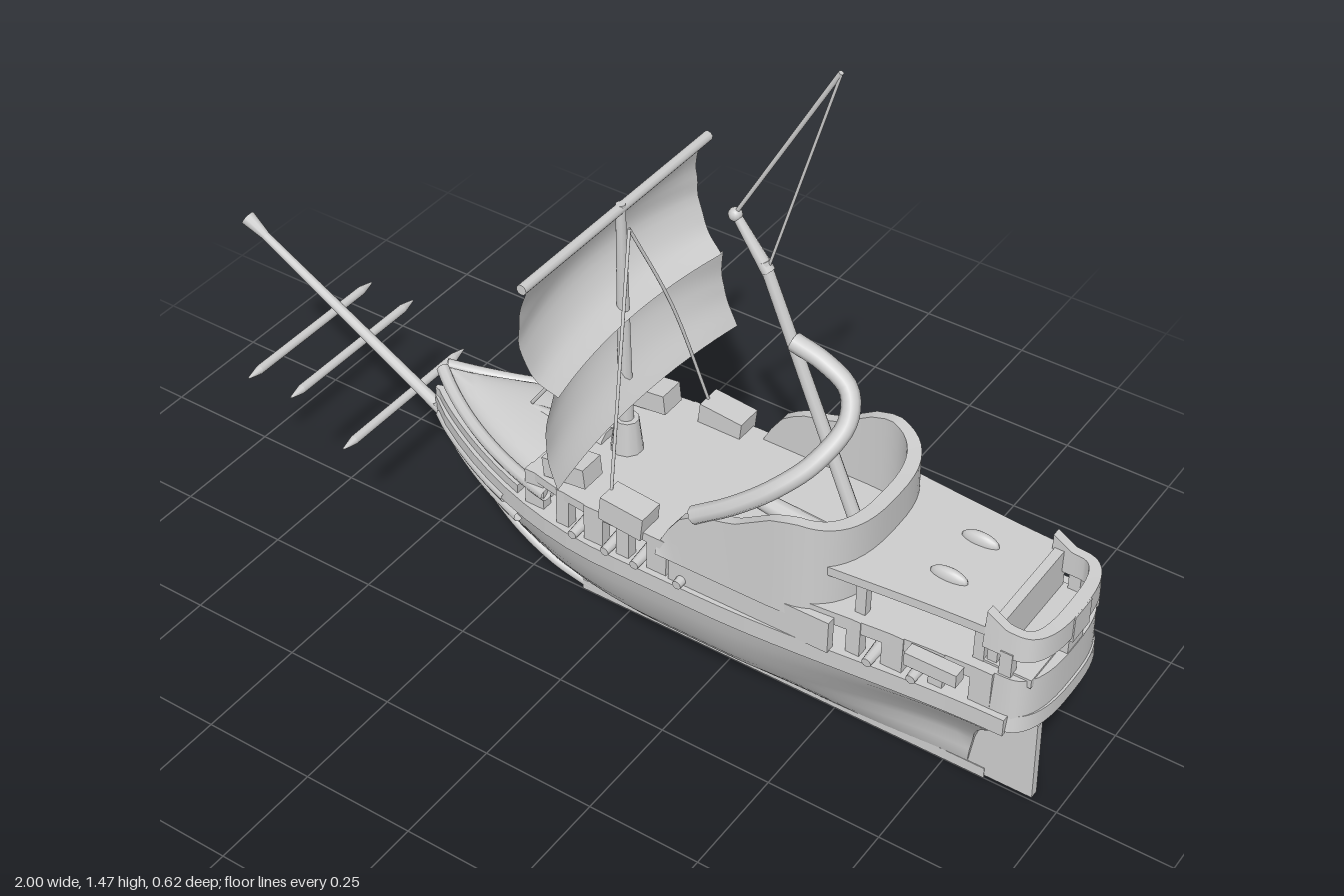
import * as THREE from 'three';
import { toCreasedNormals } from 'three/addons/utils/BufferGeometryUtils.js';

const mat = new THREE.MeshStandardMaterial({ color: 0xcccccc, side: THREE.DoubleSide });
const V = (x, y, z) => new THREE.Vector3(x, y, z);
const list = (n, f) => Array.from({ length: n }, (_, i) => f(i));

// Linear interpolation through [key, value] pairs
function lerpTable(table, k) {
  const i = table.findIndex(([a]) => k <= a);
  if (i < 0) return table[table.length - 1][1];
  if (i === 0) return table[0][1];
  const [a, va] = table[i - 1], [b, vb] = table[i];
  return va + (vb - va) * (k - a) / (b - a);
}

// Skin a list of closed rings; each end closes on its centre
function loft(rings, crease = 0.6) {
  const n = rings[0].length, idx = [];
  const cap = ring => ring.map(() => ring.reduce((s, p) => s.add(p), V(0, 0, 0)).divideScalar(n));
  const all = [cap(rings[0]), ...rings, cap(rings[rings.length - 1])];
  for (let i = 0; i < all.length - 1; i++)
    for (let j = 0; j < n; j++) {
      const a = i * n + j, b = i * n + (j + 1) % n;
      if (i > 0) idx.push(a, b, a + n);
      if (i < all.length - 2) idx.push(b, b + n, a + n);
      else idx.pop(), idx.pop(), idx.pop(), idx.push(a, b, a + n);
    }
  return toCreasedNormals(new THREE.BufferGeometry().setFromPoints(all.flat()).setIndex(idx), crease);
}

// Hull lines by height: bow and stern profile, midship half width, stern width ratio
const bowX = [[0.015, -0.1], [0.04, -0.2], [0.09, -0.29], [0.15, -0.355], [0.22, -0.42], [0.33, -0.5]];
const sternX = [[0.015, 0.8], [0.12, 0.815], [0.2, 0.85], [0.26, 0.89], [0.33, 0.94]];
const midW = [[0.015, 0.012], [0.05, 0.045], [0.1, 0.092], [0.15, 0.132], [0.2, 0.162], [0.26, 0.187], [0.33, 0.205]];
const sternW = [[0.015, 0.5], [0.1, 0.2], [0.2, 0.5], [0.28, 0.74], [0.33, 0.8]];

function halfWidth(x, y = 0.33) {
  const a = lerpTable(bowX, y), b = lerpTable(sternX, y);
  const s = THREE.MathUtils.clamp((x - a) / (b - a), 0, 1);
  const bow = Math.pow(Math.sin(Math.min(1, s / 0.4) * Math.PI / 2), 0.85);
  const aft = THREE.MathUtils.smoothstep(s, 0.55, 1);
  return lerpTable(midW, y) * bow * (1 - aft * (1 - lerpTable(sternW, y)));
}

function hullGeometry() {
  return loft([0.015, 0.04, 0.07, 0.1, 0.14, 0.18, 0.22, 0.26, 0.3, 0.33].map(y => {
    const a = lerpTable(bowX, y), b = lerpTable(sternX, y);
    const side = list(41, i => a + (b - a) * Math.pow(i / 40, 1.25)).map(x => V(x, y, halfWidth(x, y)));
    return [...side, ...side.slice(1).reverse().map(p => V(p.x, p.y, -p.z))];
  }));
}

// Rounded foredeck, cambered across
function foredeckGeometry() {
  return loft(list(19, i => {
    const x = -0.465 + 0.365 * i / 18, w = Math.max(0.004, halfWidth(x) - 0.022);
    return list(17, j => Math.PI * j / 16).map(a =>
      V(x, 0.36 + 0.075 * Math.pow(Math.max(0, Math.sin(a)), 0.5), w * Math.cos(a)));
  }), 0.8);
}

// Deck plate following the hull's plan, pulled in by an inset
function plate(x0, x1, top, thick, inset) {
  const side = list(25, i => x0 + (x1 - x0) * i / 24)
    .map(x => new THREE.Vector2(x, Math.max(0.004, halfWidth(x) - inset)));
  const shape = new THREE.Shape([...side, ...side.slice().reverse().map(p => new THREE.Vector2(p.x, -p.y))]);
  return new THREE.ExtrudeGeometry(shape, { depth: thick, bevelEnabled: false }).rotateX(Math.PI / 2).translate(0, top, 0);
}

// Rounded U wall open toward the bow; its top edge follows a height table over x
function horseshoe(x0, x1, hw, t, bottom, topTable, round) {
  const straight = list(11, i => x0 + (x1 - round - x0) * i / 10);
  const bend = list(23, i => Math.PI / 2 - Math.PI * (i + 1) / 24).map(a => [
    x1 - round + round * Math.pow(Math.cos(a), 0.75),
    Math.sign(Math.sin(a)) * Math.pow(Math.abs(Math.sin(a)), 0.75), Math.cos(a)]);
  const path = [...straight.map(x => [x, 1, 0]), ...bend, ...straight.reverse().map(x => [x, -1, 0])];
  return loft(path.map(([x, s, c]) => {
    const top = lerpTable(topTable, x), xi = x - t * c, zi = s * (hw - t);
    return [V(x, bottom, s * hw), V(x, top, s * (hw - 0.008)), V(xi, top, zi), V(xi, bottom, zi)];
  }));
}

// Cloth bellied by a centre line of [x, y] points, its sides swept aft by a table over height
function sailGeometry(line, topW, bottomW, bulge, sweep) {
  const curve = new THREE.CatmullRomCurve3(line.map(([x, y]) => V(x, y, 0)));
  const g = new THREE.PlaneGeometry(1, 1, 20, 16), p = g.attributes.position;
  for (let i = 0; i < p.count; i++) {
    const u = p.getX(i) * 2, v = 0.5 - p.getY(i), c = curve.getPoint(v);
    const w = topW + (bottomW - topW) * v + bulge * Math.sin(v * Math.PI);
    p.setXYZ(i, c.x + lerpTable(sweep, v) * u * u, c.y, 0.012 + u * w);
  }
  g.computeVertexNormals();
  return g;
}

export function createModel() {
  const ship = new THREE.Group();
  ship.name = 'sailingShip';
  ship.position.z = -0.01;
  const add = (name, geo, x = 0, y = 0, z = 0) => {
    const m = new THREE.Mesh(geo, mat);
    m.name = name;
    m.position.set(x, y, z);
    ship.add(m);
    return m;
  };
  const box = (name, x, y, z, w, h, d) => add(name, new THREE.BoxGeometry(w, h, d), x, y, z);
  const spar = (name, a, b, r0, r1 = r0) => {
    const d = b.clone().sub(a), mid = a.clone().lerp(b, 0.5);
    add(name, new THREE.CylinderGeometry(r1, r0, d.length(), 10), ...mid)
      .quaternion.setFromUnitVectors(V(0, 1, 0), d.normalize());
  };
  const tube = (name, pts, r) => add(name, new THREE.TubeGeometry(
    new THREE.CatmullRomCurve3(pts.map(p => V(...p))), 40, r, 8));

  // Hull, keel, stem and rudder
  add('hull', hullGeometry());
  box('keel', 0.36, 0.017, 0, 0.96, 0.025, 0.024);
  tube('stem', bowX.map(([y, x]) => [x, y, 0]), 0.013);
  const rudder = new THREE.Shape([[0.79, 0.01], [0.945, 0.01], [0.94, 0.2], [0.925, 0.22], [0.86, 0.22], [0.81, 0.12]]
    .map(p => new THREE.Vector2(...p)));
  add('rudder', new THREE.ExtrudeGeometry(rudder, { depth: 0.02, bevelEnabled: false }), 0, 0, -0.01);

  // Bulwarks and decks
  add('gunwale', plate(-0.5, 0.94, 0.35, 0.04, -0.006));
  add('bowBulwark', plate(-0.5, -0.17, 0.37, 0.05, 0.004));
  add('foredeck', foredeckGeometry());
  add('mainDeck', plate(-0.14, 0.62, 0.435, 0.02, 0.008));
  add('aftDeck', plate(0.58, 0.9, 0.435, 0.03, 0.008));
  add('quarterDeck', plate(0.55, 0.89, 0.525, 0.02, 0.025));
  spar('foredeckRidge', V(-0.26, 0.425, 0), V(-0.06, 0.425, 0), 0.01, 0.03);

  for (const s of [1, -1]) {
    // Posts between the open ports
    [-0.12, -0.04, 0.04, 0.11, 0.19, 0.62, 0.7, 0.79, 0.88].forEach((x, i) =>
      box('portPost', x, 0.39, s * (halfWidth(x) - 0.02), i % 2 ? 0.03 : 0.045, 0.09, 0.025));
    [0.62, 0.86].forEach(x => box('quarterPost', x, 0.475, s * (halfWidth(x) - 0.04), 0.022, 0.09, 0.02));
    box('lowerWall', 0.4, 0.385, s * 0.19, 0.36, 0.075, 0.02);
    box('sideBalcony', 0.795, 0.42, s * 0.183, 0.11, 0.03, 0.03);
    // Guns, deck chests and skylights
    [0.0, 0.08, 0.15, 0.25, 0.66, 0.75].forEach(x =>
      spar('gun', V(x, 0.365, s * (halfWidth(x) - 0.07)), V(x, 0.36, s * (halfWidth(x) + 0.012)), 0.014, 0.01));
    box('deckChest', -0.05, 0.465, s * 0.14, 0.1, 0.045, 0.06).rotation.z = 0.12;
    box('sideChest', 0.11, 0.45, s * 0.175, 0.1, 0.055, 0.06).rotation.z = -0.1;
    add('skylight', new THREE.SphereGeometry(0.04, 16, 10), 0.75, 0.525, s * 0.06).scale.set(1, 0.5, 0.35);
    // Bow mouldings and the foredeck rail, which sweeps up at the tip
    for (const y of [0.275, 0.315])
      tube('bowMoulding', list(9, i => lerpTable(bowX, y) + 0.01 + i * 0.034)
        .map(x => [x, y, s * (halfWidth(x, y) + 0.005)]), 0.012);
    tube('foredeckRail', list(12, i => [-0.475 + i * 0.035, 0.392 + 0.04 * Math.pow(1 - i / 11, 4),
      s * (halfWidth(-0.475 + i * 0.035) - 0.014)]), 0.014);
    tube('shroud', [[-0.01, 0.97, 0], [0.03, 0.76, s * 0.085], [0.07, 0.45, s * 0.18]], 0.0035);
  }

  // Curved cabin wall
  add('cabinWall', horseshoe(0.19, 0.6, 0.203, 0.03, 0.4,
    [[0.19, 0.42], [0.23, 0.5], [0.28, 0.535], [0.36, 0.555], [0.44, 0.605], [0.49, 0.62], [0.6, 0.605]], 0.16));

  // Stern gallery
  add('galleryBase', horseshoe(0.86, 0.995, 0.165, 0.13, 0.315, [[0.86, 0.35]], 0.08));
  add('galleryLowerBand', horseshoe(0.88, 0.99, 0.158, 0.03, 0.34, [[0.88, 0.435]], 0.07));
  add('galleryUpperBand', horseshoe(0.87, 0.995, 0.145, 0.028, 0.48, [[0.87, 0.56], [0.91, 0.535], [1, 0.53]], 0.07));
  for (const z of [-0.135, 0, 0.135]) box('galleryPost', z ? 0.92 : 0.976, 0.455, z, 0.025, 0.07, z ? 0.022 : 0.06);
  box('galleryBlock', 0.982, 0.5, 0, 0.03, 0.06, 0.065);
  box('galleryFloor', 0.92, 0.43, 0, 0.1, 0.02, 0.27);
  box('galleryFront', 0.885, 0.48, 0, 0.02, 0.1, 0.26);

  // Bowsprit and loose cross spars
  spar('bowsprit', V(-0.47, 0.3, 0), V(-0.985, 0.595, 0), 0.014, 0.009);
  spar('bowspritTip', V(-0.945, 0.572, 0), V(-0.995, 0.602, 0), 0.009, 0.017);
  for (const [x, y] of [[-0.84, 0.37], [-0.725, 0.37], [-0.59, 0.295]])
    for (const s of [1, -1]) {
      spar('crossSpar', V(x, y, 0), V(x, y, s * 0.17), 0.01);
      spar('crossSparTip', V(x, y, s * 0.17), V(x, y, s * 0.205), 0.01, 0.002);
    }

  // Foremast, yard, sails and forestay
  spar('foremast', V(-0.015, 0.4, 0), V(-0.03, 1.02, 0), 0.018, 0.01);
  spar('foremastCollar', V(-0.015, 0.43, 0), V(-0.015, 0.51, 0), 0.035, 0.025);
  spar('upperYard', V(-0.03, 1.01, -0.3), V(-0.03, 1.01, 0.315), 0.011);
  add('upperSail', sailGeometry([[-0.04, 1.005], [-0.083, 0.935], [-0.095, 0.87], [-0.06, 0.805], [0.0, 0.77]],
    0.28, 0.277, 0.02, [[0, 0.01], [0.35, 0.05], [0.6, 0.055], [1, 0.03]]));
  add('lowerSail', sailGeometry([[-0.055, 0.768], [-0.05, 0.7], [-0.025, 0.64], [0.02, 0.578]],
    0.29, 0.312, 0.004, [[0, 0.08], [0.5, 0.06], [1, 0.03]]));
  spar('forestay', V(-0.05, 0.73, 0), V(-0.25, 0.44, 0), 0.004);

  // Raked mainmast with its curled brace and top rigging
  spar('mainmast', V(0.55, 0.42, 0), V(0.29, 1.02, 0), 0.015, 0.012);
  spar('mastFoot', V(0.46, 0.43, 0), V(0.3, 0.45, 0), 0.025, 0.018);
  tube('curledBrace', [[0.36, 0.865, 0], [0.43, 0.845, 0], [0.485, 0.81, 0.005], [0.503, 0.76, 0.035],
    [0.475, 0.695, 0.1], [0.42, 0.64, 0.15], [0.35, 0.585, 0.178], [0.27, 0.53, 0.19]], 0.019);
  spar('mastHead', V(0.3, 1.0, 0), V(0.225, 1.1, 0), 0.014, 0.009);
  add('mastKnob', new THREE.SphereGeometry(0.014, 12, 8), 0.225, 1.098, 0);
  spar('topSpar', V(0.225, 1.1, 0), V(0.43, 1.475, 0), 0.004, 0.005);
  spar('topStay', V(0.3, 1.01, 0), V(0.43, 1.47, 0), 0.003);
  return ship;
}
